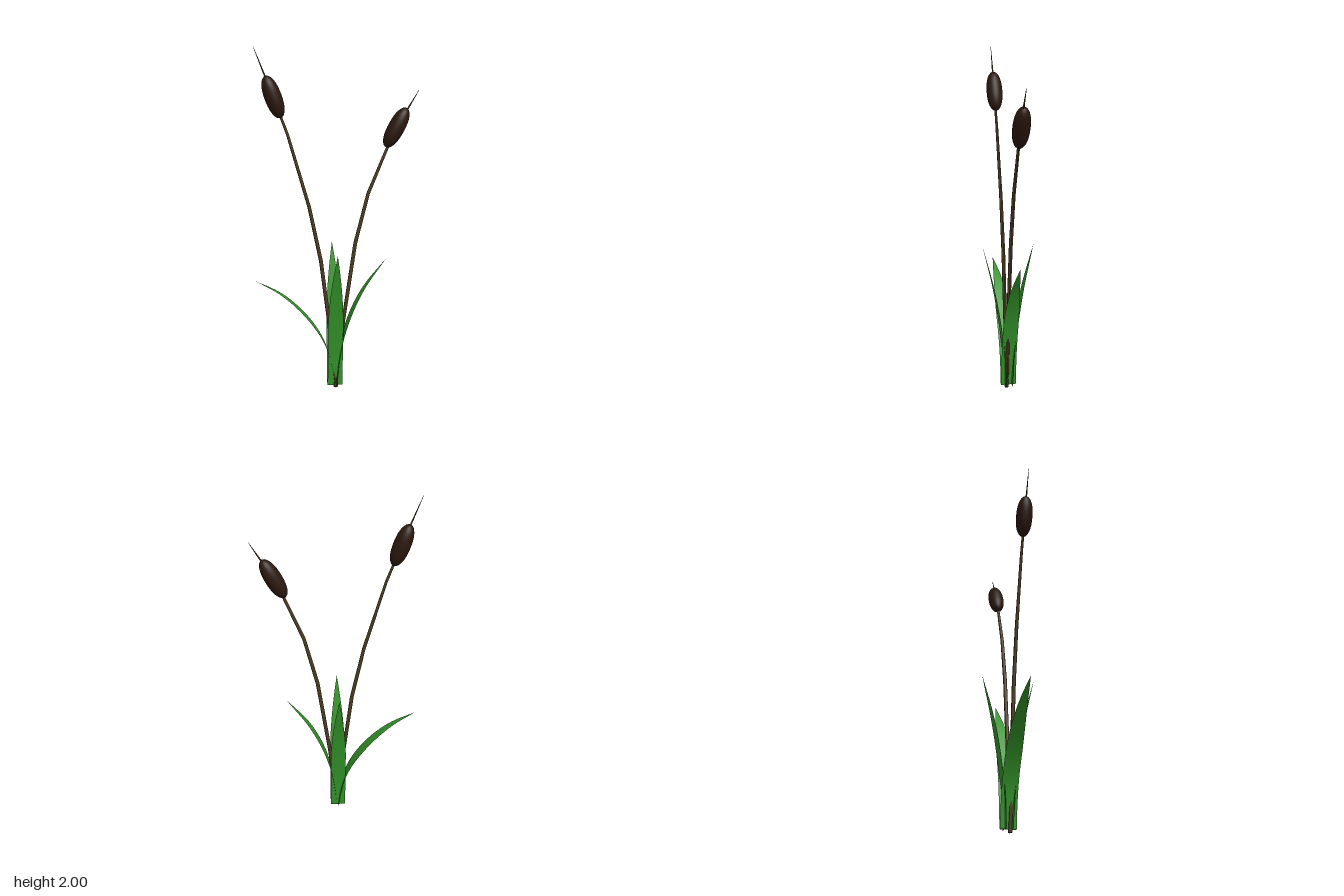
import * as THREE from 'three';

const leafMat = new THREE.MeshStandardMaterial({ color: 0x339229, side: THREE.DoubleSide });
const stemMat = new THREE.MeshStandardMaterial({ color: 0x4a3a20 });
const headMat = new THREE.MeshStandardMaterial({ color: 0x2a170d });

// Joins equal rows of points into one smooth surface
function loft(rows) {
  const n = rows[0].length;
  const index = [];
  for (let i = 0; i < rows.length - 1; i++) {
    for (let j = 0; j < n - 1; j++) {
      const a = i * n + j, b = a + n;
      index.push(a, a + 1, b, a + 1, b + 1, b);
    }
  }
  const geo = new THREE.BufferGeometry().setFromPoints(rows.flat());
  geo.setIndex(index);
  geo.computeVertexNormals();
  return geo;
}

// Tapered stem following a bent line; points are [x, y, radius]
function makeStem(points, z) {
  const sides = 10;
  const at = (i) => points[Math.min(Math.max(i, 0), points.length - 1)];
  const rows = points.map(([x, y, r], i) => {
    const [x0, y0] = at(i - 1), [x1, y1] = at(i + 1);
    const t = new THREE.Vector2(x1 - x0, y1 - y0).normalize();
    const ring = [];
    for (let j = 0; j <= sides; j++) {
      const a = (j / sides) * Math.PI * 2;
      const c = Math.cos(a) * r;
      ring.push(new THREE.Vector3(x + t.y * c, y - t.x * c, z - Math.sin(a) * r));
    }
    return ring;
  });
  // close the foot
  rows.unshift(rows[0].map(() => new THREE.Vector3(points[0][0], points[0][1], z)));
  return new THREE.Mesh(loft(rows), stemMat);
}

// Blunt spindle-shaped seed head
function makeHead(x, y, z, tilt, halfLength) {
  const profile = [];
  for (let i = 0; i <= 20; i++) {
    const s = -Math.cos((i / 20) * Math.PI);
    const r = 0.047 * Math.sqrt(Math.max(0, 1 - Math.abs(s) ** 2.4));
    profile.push(new THREE.Vector2(r, s * halfLength));
  }
  const head = new THREE.Mesh(new THREE.LatheGeometry(profile, 24), headMat);
  head.position.set(x, y, z);
  head.rotation.z = tilt;
  return head;
}

// Thin blade: points are [outward, height], bending towards +x before turning
function makeLeaf(points, turn) {
  const curve = new THREE.CatmullRomCurve3(points.map(([x, y]) => new THREE.Vector3(x, y, 0)));
  const rows = [];
  for (let i = 0; i <= 28; i++) {
    const t = i / 28;
    const p = curve.getPointAt(t);
    const u = Math.max(0, (t - 0.45) / 0.55);
    const w = 0.045 * Math.max(0.01, 1 - u ** 1.7);
    rows.push([-w, 0, w].map((z) => new THREE.Vector3(p.x, p.y, z)));
  }
  const leaf = new THREE.Mesh(loft(rows), leafMat);
  leaf.rotation.y = turn;
  leaf.position.set(-0.003, 0, -0.004);
  return leaf;
}

export function createModel() {
  const group = new THREE.Group();
  const add = (name, mesh) => {
    mesh.name = name;
    group.add(mesh);
  };
  const z = 0.007;

  // Stems
  add('tallStem', makeStem([
    [0, 0, 0.011], [-0.04, 0.43, 0.011], [-0.085, 0.8, 0.011], [-0.15, 1.12, 0.01],
    [-0.265, 1.53, 0.008], [-0.305, 1.64, 0.007], [-0.375, 1.83, 0.005], [-0.44, 2, 0.001],
  ], z));
  add('shortStem', makeStem([
    [0.003, 0, 0.011], [0.047, 0.43, 0.011], [0.115, 0.9, 0.011], [0.187, 1.19, 0.01],
    [0.295, 1.455, 0.008], [0.39, 1.64, 0.006], [0.464, 1.765, 0.001],
  ], z));

  // Seed heads
  add('tallSeedHead', makeHead(-0.34, 1.735, 0.005, 0.34, 0.12));
  add('shortSeedHead', makeHead(0.342, 1.56, 0.003, -0.49, 0.123));

  // Leaves: an upright pair front and back, two arching ones at the sides
  const upright = [[0.018, 0.015], [0.027, 0.2], [0.045, 0.36], [0.085, 0.6], [0.15, 0.865]];
  add('frontLeaf', makeLeaf(upright, -Math.PI / 2));
  add('backLeaf', makeLeaf(upright, Math.PI / 2));
  add('leftLeaf', makeLeaf([[0.008, 0.015], [0.02, 0.15], [0.045, 0.3], [0.098, 0.47], [0.175, 0.625], [0.3, 0.795]], 0));
  add('rightLeaf', makeLeaf([[0.002, 0.015], [0.015, 0.12], [0.044, 0.24], [0.1, 0.36], [0.2, 0.495], [0.32, 0.605], [0.457, 0.685]], Math.PI));
  return group;
}
